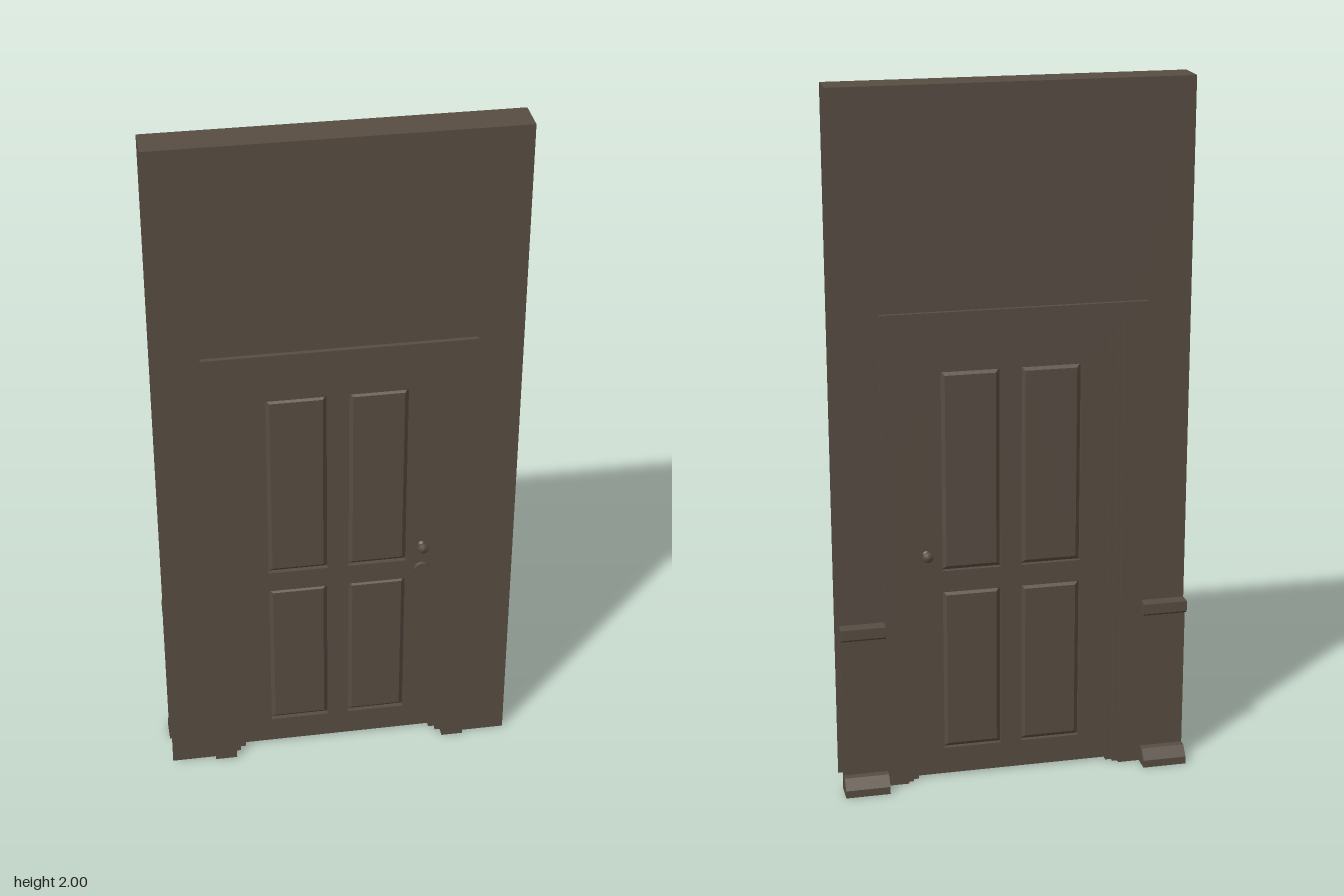
import * as THREE from 'three';

export function createModel() {
  const model = new THREE.Group();
  const brown = new THREE.MeshStandardMaterial({ color: 0x574d42, side: THREE.DoubleSide });
  brown.name = 'dark brown paint';

  const add = (name, geometry, x = 0, y = 0, z = 0, parent = model) => {
    const mesh = new THREE.Mesh(geometry, brown);
    mesh.name = name;
    mesh.position.set(x, y, z);
    parent.add(mesh);
    return mesh;
  };
  const polygon = (points) => new THREE.Shape(points.map(([x, y]) => new THREE.Vector2(x, y)));
  const rect = (x0, y0, x1, y1) => polygon([[x0, y0], [x1, y0], [x1, y1], [x0, y1]]);
  const extrude = (shape, depth) => new THREE.ExtrudeGeometry(shape, { depth, bevelEnabled: false });

  // Door-shaped surround, open at the floor
  const surround = (outX, outY, inX, inY) => polygon([
    [-outX, 0], [-inX, 0], [-inX, inY], [inX, inY], [inX, 0], [outX, 0], [outX, outY], [-outX, outY],
  ]);

  // Hollow wall: two skins and a top, open at the ends and below
  const skin = new THREE.ShapeGeometry(surround(0.5, 2, 0.34, 1.36));
  add('wallFront', skin, 0, 0, 0.075);
  add('wallBack', skin.clone().rotateY(Math.PI), 0, 0, -0.025);
  add('wallTop', new THREE.PlaneGeometry(1, 0.1).rotateX(-Math.PI / 2), 0, 2, 0.025);

  // Stepped door frame
  add('casing', extrude(surround(0.373, 1.39, 0.31, 1.34), 0.125), 0, 0, -0.037);
  add('jamb', extrude(surround(0.312, 1.342, 0.295, 1.322), 0.085), 0, 0, -0.025);
  add('doorStop', extrude(surround(0.297, 1.324, 0.278, 1.3), 0.055), 0, 0, -0.012);

  // Door leaf with four panel openings
  const door = new THREE.Group();
  door.name = 'door';
  model.add(door);
  const leaf = rect(-0.28, 0.005, 0.28, 1.302);
  const openings = [];
  for (const [x0, x1] of [[-0.197, -0.027], [0.033, 0.2]]) {
    for (const [y0, y1] of [[0.085, 0.568], [0.632, 1.213]]) openings.push([x0, y0, x1, y1]);
  }
  for (const o of openings) leaf.holes.push(rect(...o));
  add('doorLeaf', extrude(leaf, 0.036), 0, 0, -0.003, door);

  // Bevelled panels set into the openings
  for (const [x0, y0, x1, y1] of openings) {
    const inset = 0.012;
    const panel = new THREE.ExtrudeGeometry(rect(x0 + inset, y0 + inset, x1 - inset, y1 - inset), {
      depth: 0.008, bevelThickness: 0.01, bevelSize: inset, bevelSegments: 1,
    });
    add('doorPanel', panel, 0, 0, 0.011, door);
  }

  // Knobs on both faces and a flat lock plate on the front
  const knobProfile = [[0, 0], [0.013, 0], [0.013, 0.004], [0.007, 0.006], [0.007, 0.012],
    [0.013, 0.016], [0.016, 0.022], [0.013, 0.028], [0, 0.031]].map(([r, h]) => new THREE.Vector2(r, h));
  const knob = new THREE.LatheGeometry(knobProfile, 16);
  add('frontKnob', knob.clone().rotateX(Math.PI / 2), 0.245, 0.685, 0.033, door);
  add('backKnob', knob.clone().rotateX(-Math.PI / 2), 0.245, 0.685, -0.003, door);
  add('lockPlate', new THREE.CylinderGeometry(0.02, 0.022, 0.008, 16).rotateX(Math.PI / 2), 0.245, 0.6, 0.037, door);

  // Wainscot on the back, profile given as (distance behind centre, height)
  const wainscotParts = {
    wainscotPanel: [[0.025, 0], [0.043, 0], [0.043, 0.48], [0.025, 0.48]],
    wainscotCap: [[0.025, 0.465], [0.055, 0.465], [0.062, 0.472], [0.062, 0.502], [0.025, 0.502]],
    baseboard: [[0.025, 0], [0.088, 0], [0.088, 0.022], [0.064, 0.05], [0.025, 0.05]],
  };
  for (const x of [-0.5, 0.373]) {
    for (const [name, profile] of Object.entries(wainscotParts)) {
      add(name, extrude(polygon(profile), 0.127).rotateY(Math.PI / 2), x, 0, 0);
    }
  }
  return model;
}
